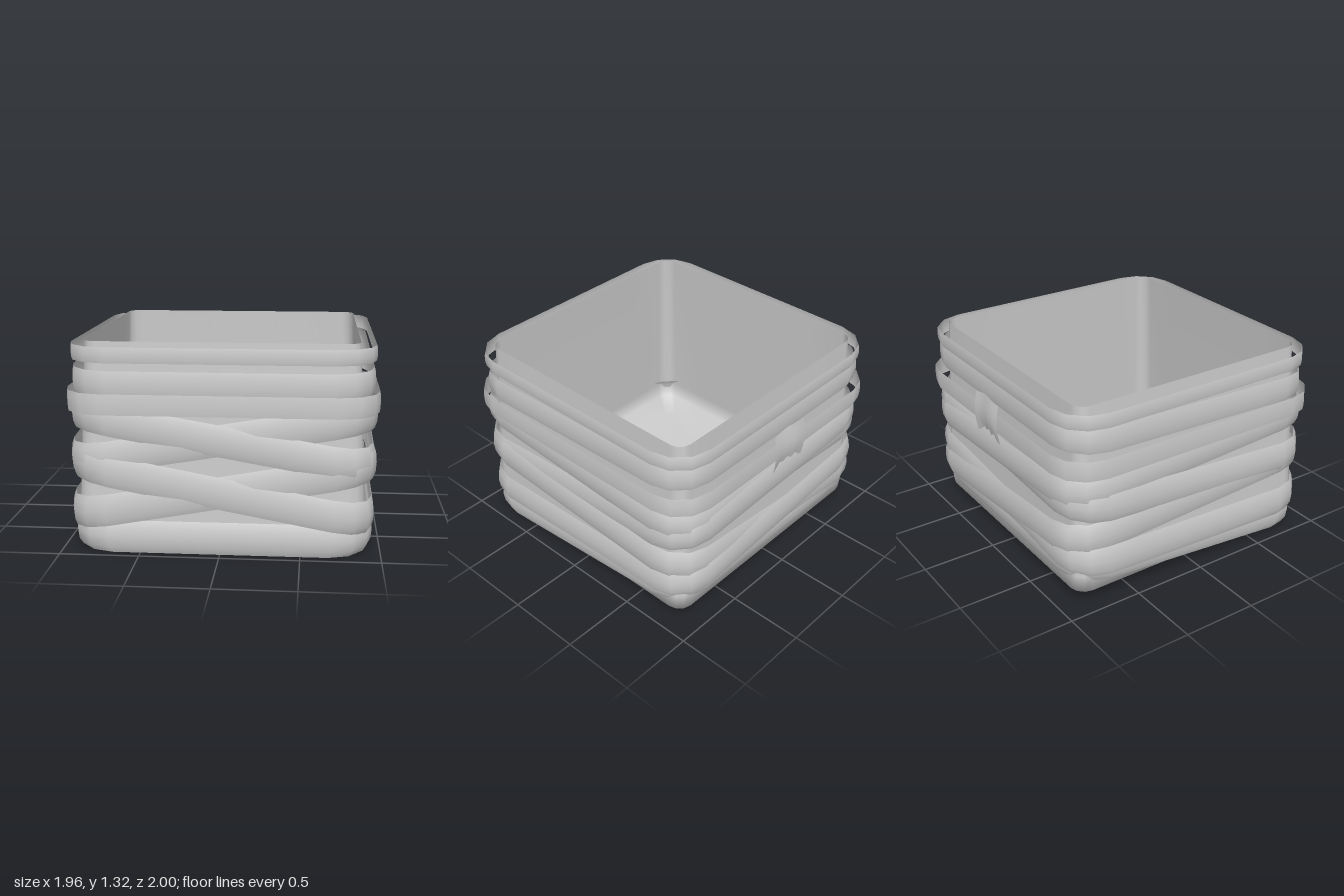
import * as THREE from 'three';

const CZ = 0.017; // the container sits slightly forward of centre

// Rounded square outline, counterclockwise seen from above
function outline(hx, hz, r, cornerSteps = 3, sideSteps = 6) {
  const corners = [];
  [[1, -1], [-1, -1], [-1, 1], [1, 1]].forEach(([sx, sz], q) => {
    for (let k = 0; k <= cornerSteps; k++) {
      const a = (q + k / cornerSteps) * Math.PI / 2;
      corners.push([sx * (hx - r) + r * Math.cos(a), sz * (hz - r) - r * Math.sin(a)]);
    }
  });
  const pts = [];
  corners.forEach((p, i) => {
    pts.push(p);
    if (i % (cornerSteps + 1) === cornerSteps) {
      const n = corners[(i + 1) % corners.length];
      for (let s = 1; s < sideSteps; s++) {
        const t = s / sideSteps;
        pts.push([p[0] + (n[0] - p[0]) * t, p[1] + (n[1] - p[1]) * t]);
      }
    }
  });
  return pts;
}

// Skin closed rings of [x, y, z] points
function loft(rings) {
  const n = rings[0].length, pos = rings.flat(2), idx = [];
  for (let i = 0; i < rings.length - 1; i++) {
    for (let j = 0; j < n; j++) {
      const k = (j + 1) % n, a = i * n + j, b = i * n + k;
      idx.push(a, b, b + n, a, b + n, a + n);
    }
  }
  const g = new THREE.BufferGeometry();
  g.setAttribute('position', new THREE.Float32BufferAttribute(pos, 3));
  g.setIndex(idx);
  g.computeVertexNormals();
  return g;
}

export function createModel() {
  const group = new THREE.Group();
  const cloth = new THREE.MeshStandardMaterial({ color: 0xcccccc, side: THREE.DoubleSide });
  cloth.name = 'plainGrey';
  const add = (name, geometry) => {
    const m = new THREE.Mesh(geometry, cloth);
    m.name = name;
    group.add(m);
  };

  // Open container: floor, bevel, walls leaning inward to the rim
  const rows = [[0.01, 0.02, 0.004], [0.74, 0.02, 0.06], [0.89, 0.08, 0.1], [0.9, 0.2, 0.1], [0.85, 1.335, 0.08]];
  add('container', loft(rows.map(([h, y, r]) =>
    outline(h, h, r).map(([x, z]) => [x, y, z + CZ]))));

  // Wrapped strip; lower edge heights at front left, front right, back right, back left
  function band(name, [fl, fr, br, bl], height, hx, hz, inset = 0.018) {
    const section = [[0, inset], [0.2, inset * 0.25], [0.5, 0], [0.8, inset * 0.3], [1, inset]];
    add(name, loft(section.map(([t, d]) => outline(hx - d, hz - d, 0.25).map(([x, z]) => {
      const u = (x / hx + 1) / 2, v = (z / hz + 1) / 2;
      const front = fr + (fl - fr) * u, back = br + (bl - br) * u;
      return [x, back + (front - back) * v + t * height, z + CZ];
    }))));
  }

  // Level and gently tilted strips
  band('topBand', [1.215, 1.215, 1.215, 1.215], 0.097, 0.955, 0.955, 0.005);
  band('upperBand', [1.0, 1.0, 1.06, 1.06], 0.165, 0.95, 0.95, 0.01);
  band('waistBand', [0.9, 0.9, 0.9, 0.9], 0.13, 0.98, 0.982, 0.004);
  band('bottomBand', [0.008, 0.008, 0.17, 0.17], 0.21, 0.95, 0.945, 0.025);

  // Crossing pairs, each mirrored left to right
  [['upperCrossBand', [0.48, 0.81, 0.69, 0.6], 0.2],
    ['lowerCrossBand', [0.135, 0.49, 0.37, 0.21], 0.205]].forEach(([name, [a, b, c, d], h]) => {
    band(name + 'Outer', [a, b, c, d], h, 0.958, 0.968);
    band(name + 'Inner', [b, a, d, c], h, 0.968, 0.957);
  });

  // Loose wrap end at the back: curled, with a ragged lower edge
  const tag = new THREE.PlaneGeometry(0.29, 0.27, 8, 8);
  const fray = [0, 0.015, 0.05, 0.03, 0.055, 0.035, 0.045, 0.015, -0.01];
  const p = tag.attributes.position;
  for (let i = 0; i < p.count; i++) {
    const t = Math.floor(i / 9) / 8, x = p.getX(i);
    p.setY(i, p.getY(i) + 0.985 + fray[i % 9] * t * t - 0.015 * t + 0.01 * Math.cos(x * 20) * (1 - t));
    p.setZ(i, -0.975 - 0.018 * Math.sin(Math.PI * t) + 0.005 * Math.sin(x * 22));
  }
  tag.computeVertexNormals();
  add('looseWrapEnd', tag);

  return group;
}
